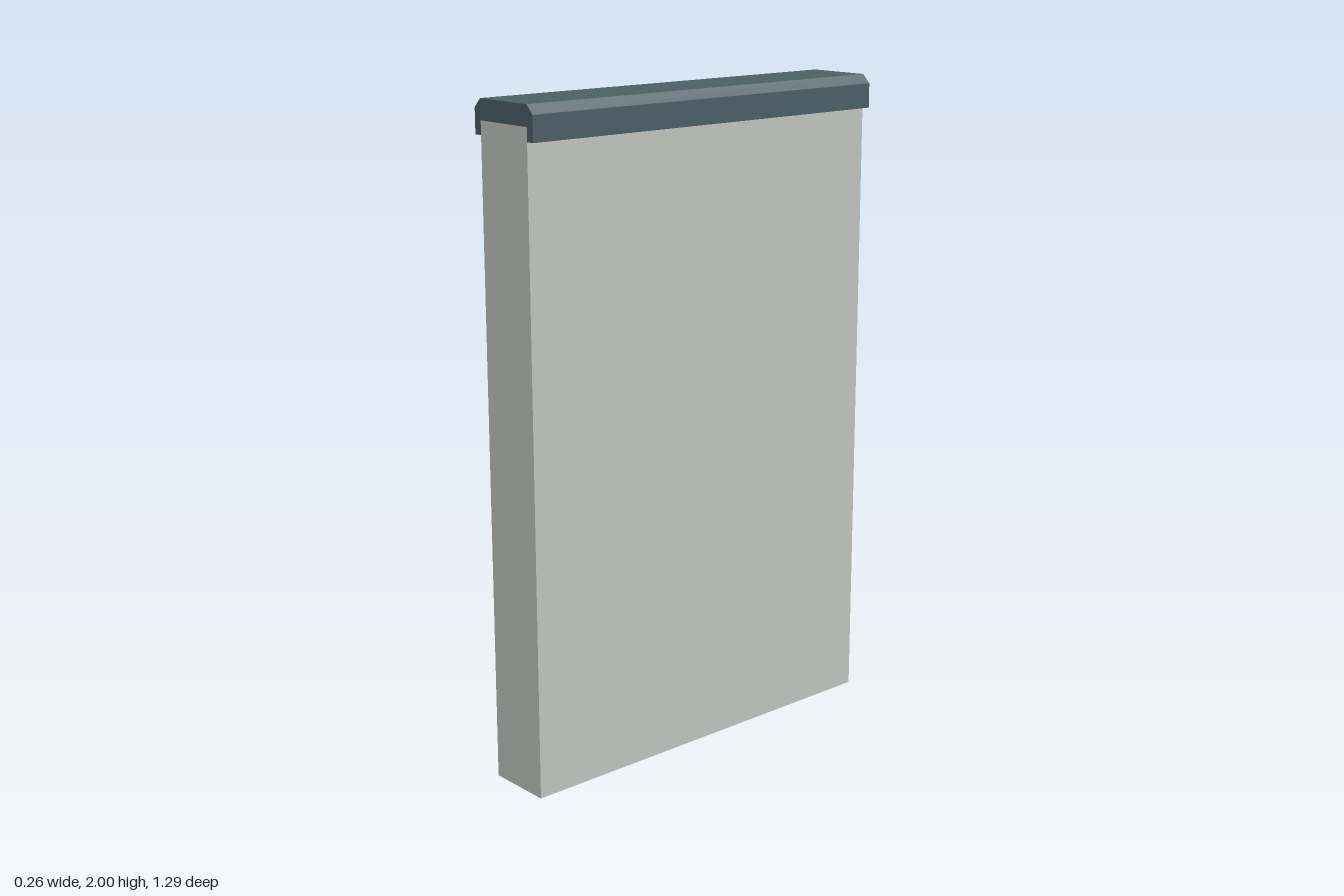
import * as THREE from 'three';

const DEPTH = 1.29;      // wall length along z
const WALL_HALF = 0.103; // half thickness of the wall
const CAP_HALF = 0.129;  // half width of the coping
const WALL_TOP = 1.94;

export function createModel() {
  const group = new THREE.Group();
  group.name = 'cappedWall';

  // Plain wall slab
  const wall = new THREE.Mesh(
    new THREE.BoxGeometry(WALL_HALF * 2, WALL_TOP, DEPTH),
    new THREE.MeshStandardMaterial({ color: 0xc2c6c1 })
  );
  wall.name = 'wallPanel';
  wall.position.y = WALL_TOP / 2;
  group.add(wall);

  // Coping: chamfered channel that sits over the top of the wall
  const half = [
    [WALL_HALF, WALL_TOP], [WALL_HALF, 1.9], [CAP_HALF, 1.9],
    [CAP_HALF, 1.974], [WALL_HALF, 2],
  ];
  const mirrored = half.map(([x, y]) => [-x, y]).reverse();
  const profile = new THREE.Shape([...half, ...mirrored].map(([x, y]) => new THREE.Vector2(x, y)));
  const capGeometry = new THREE.ExtrudeGeometry(profile, { depth: DEPTH, bevelEnabled: false });
  capGeometry.translate(0, 0, -DEPTH / 2);
  const cap = new THREE.Mesh(capGeometry, new THREE.MeshStandardMaterial({ color: 0x4b5f66 }));
  cap.name = 'copingCap';
  group.add(cap);

  return group;
}
